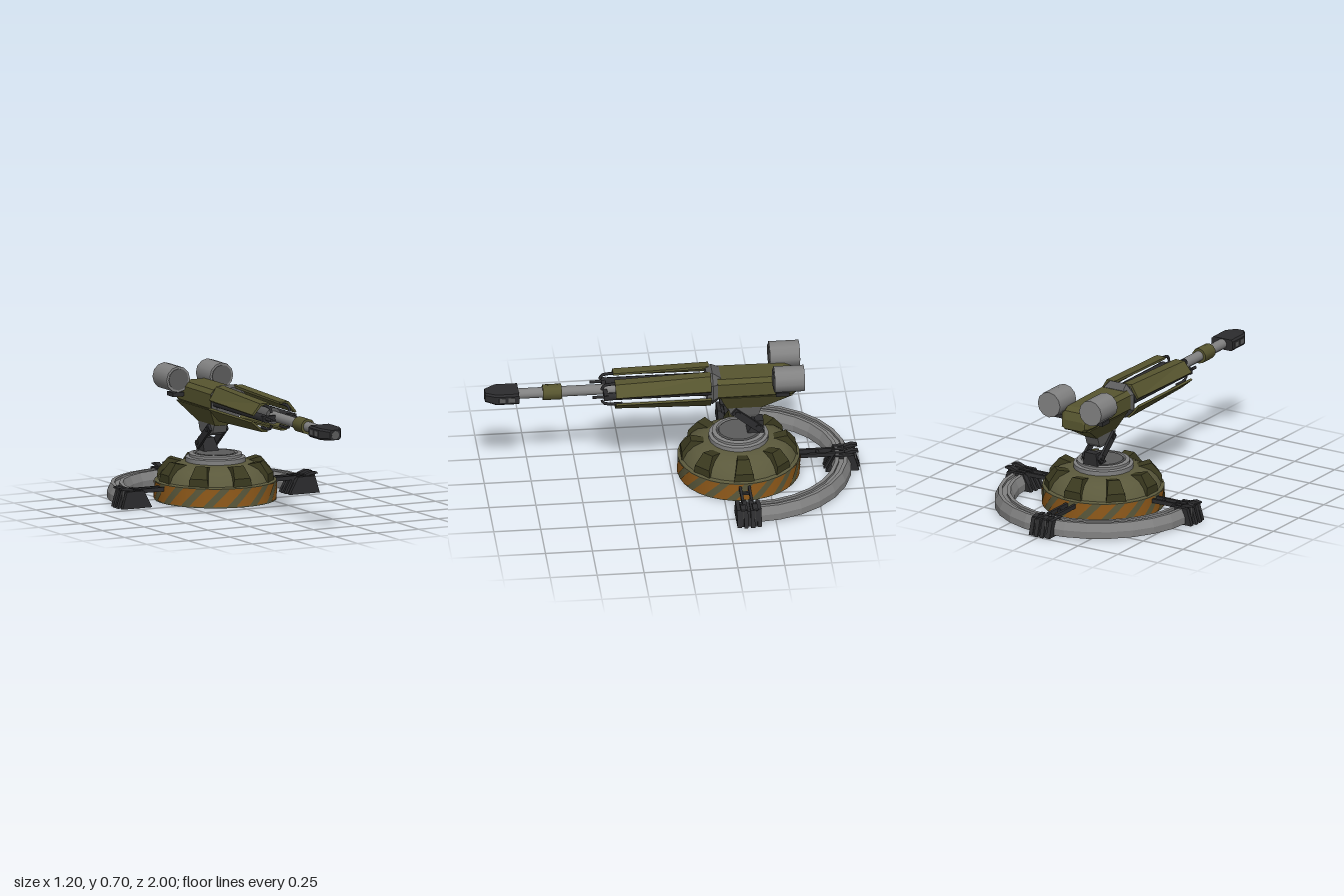
import * as THREE from 'three';
import { toCreasedNormals } from 'three/addons/utils/BufferGeometryUtils.js';
import { ConvexGeometry } from 'three/addons/geometries/ConvexGeometry.js';

const paint = (name, color) => {
  const m = new THREE.MeshStandardMaterial({ color });
  m.name = name;
  return m;
};

export function createModel() {
  const olive = paint('olive', 0x57552f);
  const dome = paint('domeGreen', 0x5b593c);
  const darkOlive = paint('darkOlive', 0x3a391f);
  const orange = paint('orange', 0x905a1a);
  const steel = paint('steel', 0x828282);
  const midGrey = paint('midGrey', 0x5c5c5c);
  const black = paint('charcoal', 0x2c2c2e);

  const model = new THREE.Group();
  const base = new THREE.Group();
  const gun = new THREE.Group();
  base.name = 'base';
  gun.name = 'gun';
  base.position.z = -0.355;
  model.add(base, gun);

  const add = (parent, name, geo, mat, x = 0, y = 0, z = 0) => {
    const m = new THREE.Mesh(geo, mat);
    m.name = name;
    m.position.set(x, y, z);
    parent.add(m);
    return m;
  };
  const box = (parent, name, mat, w, h, d, x, y, z) =>
    add(parent, name, new THREE.BoxGeometry(w, h, d), mat, x, y, z);
  const lathe = (pts, seg, crease, start = 0, len = Math.PI * 2) => toCreasedNormals(
    new THREE.LatheGeometry(pts.map(p => new THREE.Vector2(...p)), seg, start, len), crease);
  // cylinder along z from z0 to z1
  const rod = (parent, name, mat, r, z0, z1, x, y, sides = 12) =>
    add(parent, name, new THREE.CylinderGeometry(r, r, z1 - z0, sides).rotateX(Math.PI / 2),
      mat, x, y, (z0 + z1) / 2);
  // chamfered rectangle at depth z
  const section = (z, hw, y0, y1, c) => [-1, 1].flatMap(s => [
    [s * hw, y0 + c], [s * hw, y1 - c], [s * (hw - c), y0], [s * (hw - c), y1],
  ]).map(([x, y]) => new THREE.Vector3(x, y, z));
  // rectangle at height y
  const slab = (y, hw, z0, z1) => [[-hw, z0], [hw, z0], [hw, z1], [-hw, z1]]
    .map(([x, z]) => new THREE.Vector3(x, y, z));
  const hull = (...sets) => new ConvexGeometry(sets.flat());
  const extrude = (pts, depth) => new THREE.ExtrudeGeometry(
    new THREE.Shape(pts.map(p => new THREE.Vector2(...p))), { depth, bevelEnabled: false });

  // Hollow dome
  add(base, 'dome', lathe([
    [0.305, 0.005], [0.325, 0.005], [0.325, 0.108], [0.306, 0.115], [0.285, 0.15], [0.25, 0.18],
    [0.2, 0.2], [0.14, 0.212], [0.1, 0.205], [0.19, 0.185], [0.265, 0.14], [0.305, 0.1], [0.305, 0.005],
  ], 32, 0.6), dome);

  // Slanted warning stripes around the rim
  for (let i = 0; i < 16; i++) {
    const g = new THREE.CylinderGeometry(0.3275, 0.3275, 0.094, 6, 5, true, i * Math.PI / 8, 0.24);
    const p = g.attributes.position;
    for (let k = 0; k < p.count; k++) {
      const a = Math.atan2(p.getX(k), p.getZ(k)) + p.getY(k) * 3;
      p.setX(k, 0.3275 * Math.sin(a));
      p.setZ(k, 0.3275 * Math.cos(a));
    }
    g.computeVertexNormals();
    add(base, 'stripe', g, orange, 0, 0.059, 0);
  }

  // Eight armour wedges on the shoulder
  const wedge = hull(...[[0.308, 0.108, 0.056], [0.306, 0.155, 0.048], [0.257, 0.217, 0.032],
    [0.175, 0.2, 0.026], [0.26, 0.11, 0.05]]
    .map(([r, y, w]) => [new THREE.Vector3(-w, y, r), new THREE.Vector3(w, y, r)]));
  for (let i = 0; i < 8; i++) add(base, 'armourWedge', wedge, darkOlive).rotation.y = i * Math.PI / 4;

  // Turntable and the core under the dome
  add(base, 'turntable', lathe([[0.16, 0.2], [0.16, 0.232], [0.142, 0.236], [0.142, 0.25], [0.12, 0.254],
    [0.115, 0.246], [0, 0.246]], 20, 0.4), steel);
  add(base, 'turntableCap', new THREE.CylinderGeometry(0.105, 0.112, 0.012, 20), midGrey, 0, 0.248, 0);
  add(base, 'core', new THREE.CylinderGeometry(0.14, 0.105, 0.14, 16), steel, 0, 0.135, 0);
  add(base, 'coreRing', new THREE.CylinderGeometry(0.085, 0.085, 0.02, 16), black, 0, 0.06, 0);
  add(base, 'coreHub', new THREE.CylinderGeometry(0.04, 0.04, 0.02, 8), midGrey, 0, 0.052, 0);

  // Half-circle track
  add(base, 'track', lathe([
    [0.45, 0.008], [0.555, 0.008], [0.555, 0.045], [0.535, 0.088], [0.515, 0.088], [0.515, 0.075],
    [0.49, 0.075], [0.49, 0.088], [0.47, 0.088], [0.45, 0.045], [0.45, 0.008],
  ], 14, 0.2, Math.PI / 2, Math.PI), steel, 0, 0, -0.045);

  // Three ribbed feet with their arms
  [[0, 0], [Math.PI / 2, 0.045], [Math.PI, 0]].forEach(([angle, out]) => {
    const foot = new THREE.Group();
    foot.name = 'foot';
    foot.rotation.y = angle;
    base.add(foot);
    add(foot, 'footCore', extrude([[0.42, 0], [0.585, 0], [0.56, 0.08], [0.46, 0.08]], 0.12),
      black, out, 0, -0.06);
    for (let i = 0; i < 4; i++) {
      const inset = i === 0 || i === 3 ? 0.008 : 0;
      add(foot, 'footRib', extrude([[0.405 + inset, 0], [0.6 - inset, 0], [0.572 - inset, 0.092],
        [0.455 + inset, 0.092]], 0.022), black, out, 0, -0.065 + i * 0.036);
    }
    for (const s of [-1, 1]) {
      box(foot, 'arm', black, 0.17 + out, 0.022, 0.014, 0.385 + out / 2, 0.084, s * 0.024);
      add(foot, 'footLip', extrude([[0.515, 0.09], [0.59, 0.1], [0.588, 0.108], [0.555, 0.114], [0.515, 0.1]],
        0.028), black, out, 0, s * 0.032 - 0.014);
      box(foot, 'lipPost', midGrey, 0.006, 0.06, 0.006, 0.575 + out, 0.075, s * 0.032);
    }
    box(foot, 'armBrace', black, 0.016, 0.014, 0.05, 0.375 + out, 0.082, 0);
  });

  // Folding neck
  add(gun, 'neckFoot', hull(slab(0.25, 0.045, -0.485, -0.395), slab(0.32, 0.035, -0.485, -0.44)), black);
  for (const s of [-1, 1]) {
    box(gun, 'neckLink', black, 0.014, 0.19, 0.04, s * 0.05, 0.335, -0.398).rotation.x = 0.88;
  }
  for (const [y, z] of [[0.295, -0.455], [0.382, -0.345]]) {
    add(gun, 'neckPin', new THREE.CylinderGeometry(0.014, 0.014, 0.126, 10).rotateZ(Math.PI / 2), black, 0, y, z);
  }
  add(gun, 'neckHead', hull(slab(0.345, 0.036, -0.44, -0.36), slab(0.365, 0.04, -0.46, -0.31),
    slab(0.41, 0.04, -0.475, -0.295)), midGrey);

  // Breech body
  add(gun, 'bodyHull', hull(slab(0.405, 0.038, -0.475, -0.29), slab(0.455, 0.055, -0.56, -0.27),
    slab(0.5, 0.088, -0.635, -0.25)), olive);
  add(gun, 'body', hull(section(-0.235, 0.095, 0.49, 0.61, 0.022), section(-0.6, 0.09, 0.49, 0.61, 0.022),
    section(-0.64, 0.08, 0.49, 0.595, 0.02), section(-0.655, 0.07, 0.5, 0.55, 0.015)), olive);
  add(gun, 'collar', hull(section(-0.18, 0.085, 0.46, 0.625, 0.045), section(-0.21, 0.1, 0.447, 0.637, 0.05),
    section(-0.255, 0.085, 0.49, 0.612, 0.025)), midGrey);

  // Rear pods with brackets
  for (const s of [-1, 1]) {
    rod(gun, 'pod', steel, 0.07, -0.69, -0.53, s * 0.13, 0.628);
    rod(gun, 'podFace', midGrey, 0.058, -0.532, -0.526, s * 0.13, 0.628);
    box(gun, 'podBracket', black, 0.07, 0.022, 0.07, s * 0.12, 0.545, -0.575);
  }

  // Barrel, sleeve and side recoil rods
  rod(gun, 'barrel', steel, 0.028, -0.2, 0.85, 0, 0.545);
  rod(gun, 'barrelRoot', midGrey, 0.045, -0.2, 0.3, 0, 0.545);
  rod(gun, 'barrelSleeve', olive, 0.042, 0.59, 0.69, 0, 0.545, 10);
  for (const s of [-1, 1]) rod(gun, 'recoilRod', black, 0.021, -0.2, 0.37, s * 0.08, 0.545, 8);
  box(gun, 'rodBridge', black, 0.2, 0.03, 0.022, 0, 0.545, 0.36);

  // Four bent armour panels, closing in towards the muzzle
  const panel = pts => {
    const g = extrude(pts, 0.51).translate(0, 0, -0.2);
    const p = g.attributes.position;
    for (let k = 0; k < p.count; k++) {
      const t = (p.getZ(k) + 0.2) / 0.51;
      p.setY(k, 0.545 + (p.getY(k) - 0.545) * (1 - 0.18 * t));
      p.setX(k, p.getX(k) * (0.92 + 0.1 * t));
    }
    g.computeVertexNormals();
    return g;
  };
  for (const s of [-1, 1]) {
    add(gun, 'upperPanel', panel([[0.03, 0.634], [0.085, 0.634], [0.13, 0.565], [0.122, 0.556],
      [0.076, 0.62], [0.03, 0.62]].map(([x, y]) => [s * x, y])), olive);
    add(gun, 'lowerPanel', panel([[0.04, 0.447], [0.07, 0.447], [0.135, 0.515], [0.125, 0.524],
      [0.066, 0.46], [0.04, 0.46]].map(([x, y]) => [s * x, y])), olive);
    // Hooked prongs ahead of the panels
    for (const v of [-1, 1]) {
      const path = new THREE.CatmullRomCurve3([[0.27, 0.06], [0.34, 0.06], [0.37, 0.052], [0.38, 0.03]]
        .map(([z, h]) => new THREE.Vector3(s * 0.055, 0.545 + v * h, z)));
      add(gun, 'prong', new THREE.TubeGeometry(path, 8, 0.008, 6), black);
    }
    rod(gun, 'frontPin', black, 0.009, 0.28, 0.43, s * 0.08, 0.545, 6);
  }

  // Muzzle brake with side ports
  add(gun, 'muzzle', hull(section(0.82, 0.066, 0.514, 0.576, 0.01), section(0.94, 0.066, 0.514, 0.576, 0.01),
    section(0.998, 0.032, 0.518, 0.572, 0.01)), black);
  rod(gun, 'bore', midGrey, 0.022, 0.99, 1.0, 0, 0.545);
  for (const s of [-1, 1]) {
    for (const z of [0.86, 0.91]) box(gun, 'muzzlePort', midGrey, 0.004, 0.026, 0.034, s * 0.066, 0.545, z);
  }
  return model;
}
